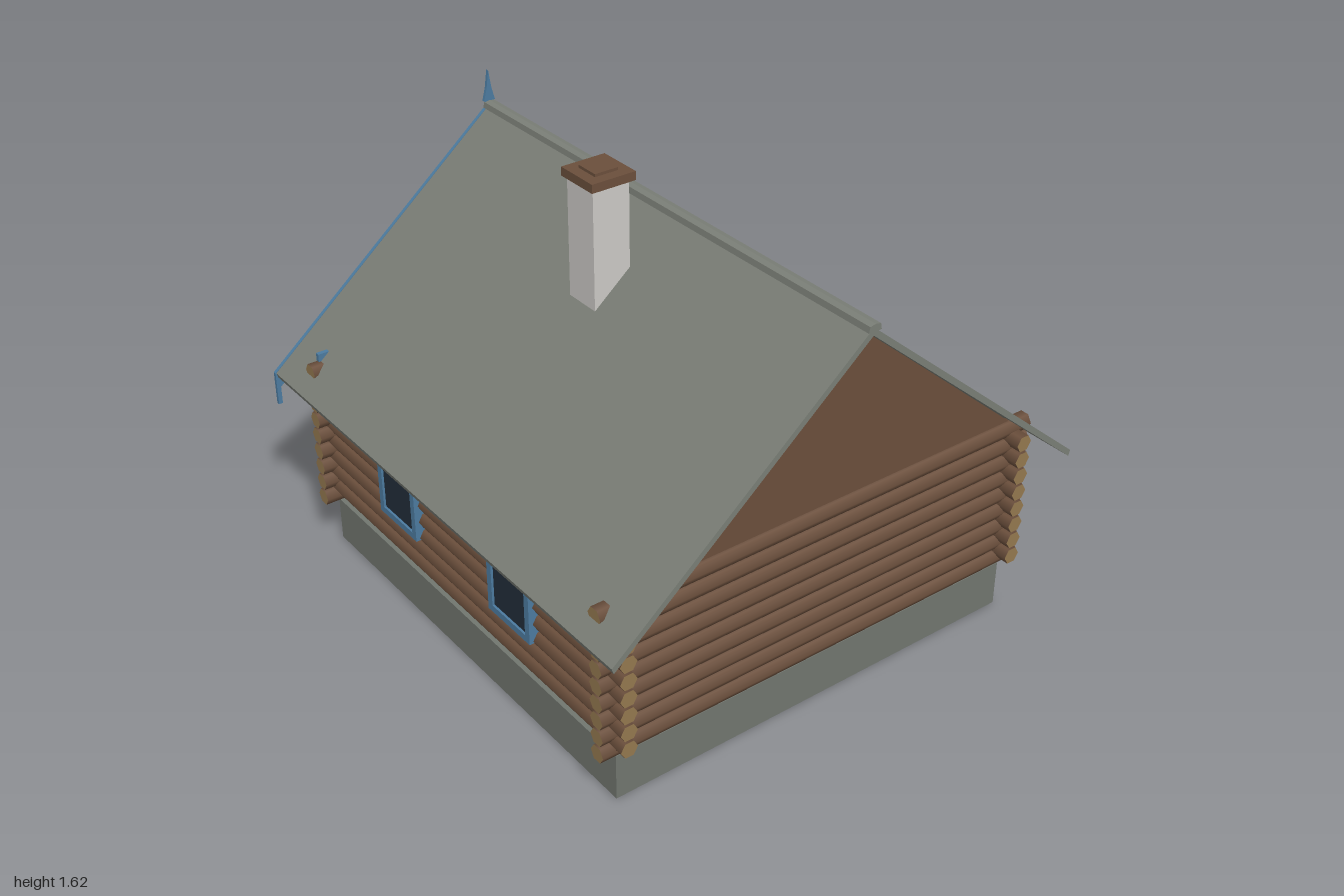
import * as THREE from 'three';

const mat = (name, color) => {
  const m = new THREE.MeshStandardMaterial({ color });
  m.name = name;
  return m;
};

export function createModel() {
  const house = new THREE.Group();
  house.name = 'logCabin';

  const wood = mat('brown wood', 0x6b4f3c);
  const logEnd = mat('cut log end', 0x94784f);
  const roofGrey = mat('roof grey', 0x7a7e76);
  const stone = mat('foundation grey', 0x71766f);
  const plaster = mat('light plaster', 0xcccac6);
  const blue = mat('blue trim', 0x4c7ba0);
  const glass = mat('dark glass', 0x222e3a);

  const add = (name, geo, material, parent = house) => {
    const m = new THREE.Mesh(geo, material);
    m.name = name;
    parent.add(m);
    return m;
  };
  // Box given by its limits on each axis
  const box = (name, [x0, x1], [y0, y1], [z0, z1], material, parent) => {
    const g = new THREE.BoxGeometry(x1 - x0, y1 - y0, z1 - z0);
    g.translate((x0 + x1) / 2, (y0 + y1) / 2, (z0 + z1) / 2);
    return add(name, g, material, parent);
  };
  const outline = (pts) => new THREE.Shape(pts.map(([a, b]) => new THREE.Vector2(a, b)));
  // Mirrors a half outline running from the top centre to the bottom centre
  const mirrored = (half) => outline([
    ...half,
    ...half.filter(([a]) => a !== 0).reverse().map(([a, b]) => [-a, b]),
  ]);
  const extrude = (shape, depth) =>
    new THREE.ExtrudeGeometry(shape, { depth, bevelEnabled: false });
  // Extrudes a (z, y) outline along x, from x0 to x1
  const alongX = (name, shape, x0, x1, material) => {
    const g = extrude(shape, x1 - x0);
    g.rotateY(-Math.PI / 2);
    g.translate(x1, 0, 0);
    return add(name, g, material);
  };

  // Foundation and the plastered core behind the logs
  box('foundation', [-0.838, 0.838], [0, 0.167], [-0.795, 0.795], stone);
  box('wallCore', [-0.815, 0.815], [0.167, 0.735], [-0.778, 0.778], plaster);

  // Interlocking six-sided logs with pale cut ends
  const R = 0.031, PITCH = 0.0635;
  const logX = new THREE.CylinderGeometry(R, R, 1.795, 6).rotateZ(Math.PI / 2);
  const logZ = new THREE.CylinderGeometry(R, R, 1.715, 6)
    .rotateY(Math.PI / 2).rotateX(Math.PI / 2);
  const logMats = [wood, logEnd, logEnd];
  for (const s of [-1, 1]) {
    for (let i = 0; i < 8; i++)
      add('longWallLog', logX, logMats).position.set(0.003, 0.236 + i * PITCH, s * 0.79);
    for (let i = 0; i < 9; i++)
      add('gableWallLog', logZ, logMats).position.set(s * 0.83, 0.205 + i * PITCH, 0);
  }

  // Gable walls
  const gable = outline([[-0.775, 0.72], [0.775, 0.72], [0.775, 0.742], [0, 1.398], [-0.775, 0.742]]);
  alongX('rightGable', gable, -0.835, -0.81, wood);
  alongX('leftGable', gable, 0.81, 0.835, wood);

  // Roof and ridge cap
  alongX('roof', mirrored([[0, 1.422], [0.912, 0.656], [0.905, 0.636], [0, 1.396]]),
    -0.985, 0.99, roofGrey);
  alongX('ridgeCap', mirrored([[0, 1.436], [0.02, 1.432], [0.024, 1.412], [0, 1.41]]),
    -0.99, 0.995, roofGrey);

  // Blue bargeboards with dropped ends, finial and belt on the decorated gable
  alongX('bargeboard', mirrored([
    [0, 1.424], [0.915, 0.656], [0.915, 0.532], [0.9, 0.532], [0.9, 0.598], [0.85, 0.638], [0, 1.355],
  ]), -0.998, -0.985, blue);
  alongX('finial', mirrored([
    [0, 1.545], [0.01, 1.48], [0.022, 1.435], [0.012, 1.43], [0.012, 1.4], [0, 1.4],
  ]), -0.998, -0.986, blue);
  box('gableBelt', [-0.85, -0.834], [0.705, 0.768], [-0.82, 0.82], blue);

  // Chimney with a stepped cap
  box('chimney', [-0.065, 0.07], [1.0, 1.576], [0.17, 0.305], plaster);
  box('chimneyCap', [-0.078, 0.084], [1.576, 1.606], [0.155, 0.317], wood);
  box('chimneyCapTop', [-0.04, 0.046], [1.606, 1.616], [0.193, 0.279], wood);

  // Timber beam along the foot of the decorated wall
  box('footBeam', [-0.918, -0.86], [0.1, 0.2], [-0.75, 0.75], wood);

  // Rectangular frame with an opening
  const frame = (w, h, t, depth) => {
    const rect = (a, b) => [[-a, -b], [a, -b], [a, b], [-a, b]];
    const s = outline(rect(w / 2, h / 2));
    s.holes.push(outline(rect(w / 2 - t, h / 2 - t)));
    return extrude(s, depth);
  };

  // Plain windows on the front wall
  for (const x of [-0.33, 0.336]) {
    const win = new THREE.Group();
    win.name = 'frontWindow';
    win.position.set(x, 0.493, 0.8);
    add('frame', frame(0.23, 0.276, 0.024, 0.035), blue, win);
    box('pane', [-0.095, 0.095], [-0.12, 0.12], [0.02, 0.027], glass, win);
    house.add(win);
  }

  // Ornate windows on the decorated gable: casing, crown, sill, pane and glazing bars
  const ornateWindow = (name, w, h, x, y, z) => {
    const win = new THREE.Group();
    win.name = name;
    win.position.set(x, y, z);
    win.rotation.y = -Math.PI / 2;
    const a = w / 2, b = h / 2, t = w * 0.15;
    add('casing', frame(w, h, t, 0.03), blue, win);
    add('crown', extrude(mirrored([
      [0, b + 0.32 * w], [a * 0.35, b + 0.2 * w], [a * 0.6, b + 0.11 * w], [a * 1.3, b + 0.09 * w],
      [a * 1.3, b - 0.02 * w], [0, b - 0.02 * w],
    ]), 0.038), blue, win);
    add('sill', extrude(mirrored([
      [0, -b + 0.03 * w], [a * 1.25, -b + 0.03 * w], [a * 1.2, -b - 0.06 * w],
      [a * 0.8, -b - 0.17 * w], [0, -b - 0.1 * w],
    ]), 0.036), blue, win);
    box('pane', [-a + t, a - t], [-b + t, b - t], [0.012, 0.019], glass, win);
    box('mullion', [-0.005, 0.005], [-b + t, b - t], [0.019, 0.024], plaster, win);
    box('transom', [-a + t, a - t], [b * 0.25, b * 0.25 + 0.01], [0.019, 0.024], plaster, win);
    house.add(win);
  };
  for (const z of [-0.54, -0.18, 0.18, 0.54])
    ornateWindow('gableWallWindow', 0.22, 0.29, -0.848, 0.478, z);
  ornateWindow('atticWindow', 0.14, 0.18, -0.833, 1.03, 0);

  return house;
}
